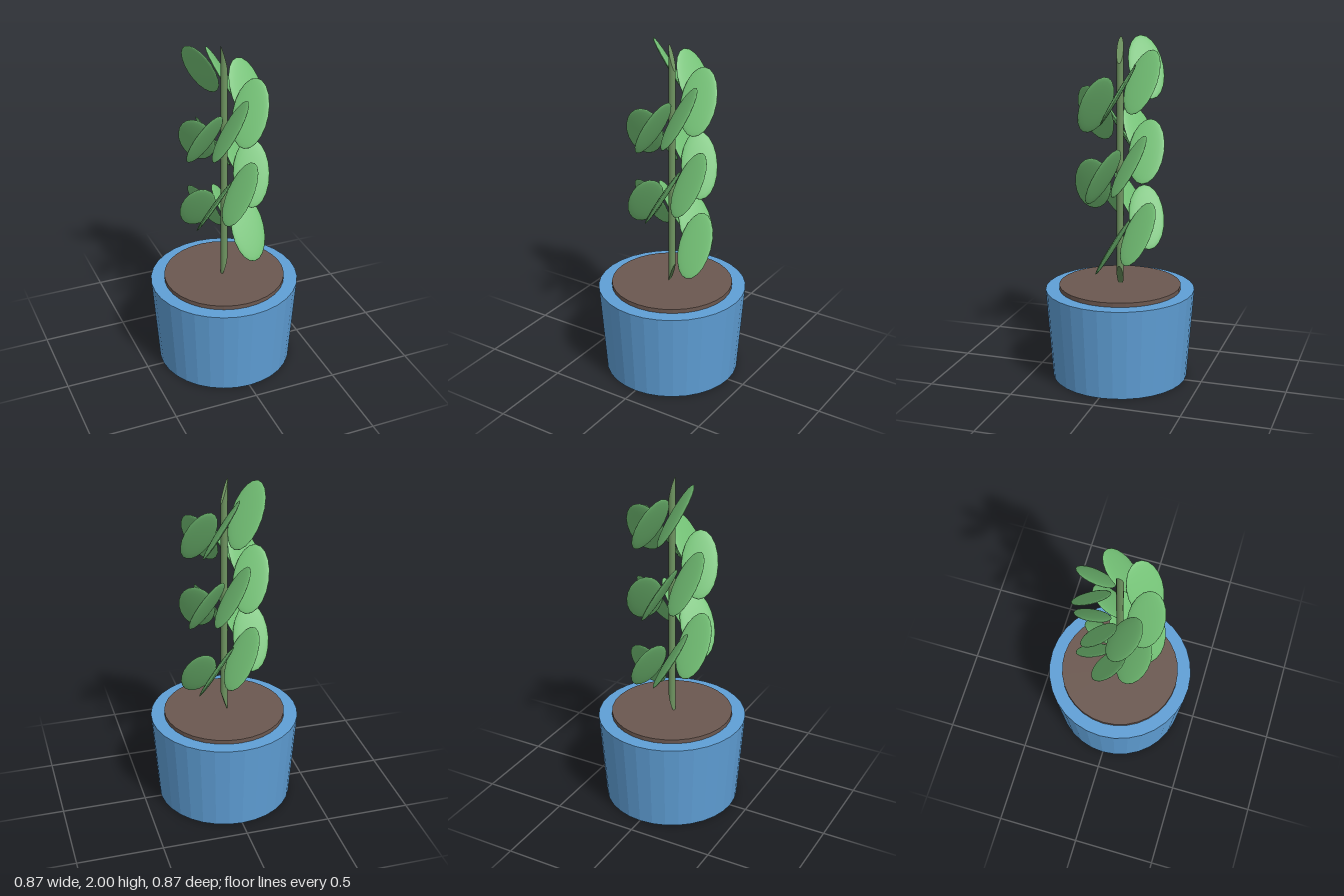
import * as THREE from 'three';

const LEAVES = 16;
const rad = THREE.MathUtils.degToRad;

function material(color, flatShading = false) {
  return new THREE.MeshStandardMaterial({ color, flatShading });
}

function addMesh(parent, name, geometry, mat) {
  const mesh = new THREE.Mesh(geometry, mat);
  mesh.name = name;
  parent.add(mesh);
  return mesh;
}

// Upright rod whose two ends are cut at a slant along x
function stemGeometry(radius, bottom, bottomSlope, top, topSlope) {
  const geo = new THREE.CylinderGeometry(radius, radius, 2, 14, 1);
  const p = geo.attributes.position;
  for (let i = 0; i < p.count; i++) {
    const x = p.getX(i);
    p.setY(i, p.getY(i) > 0 ? top + topSlope * x : bottom + bottomSlope * x);
  }
  return geo;
}

export function createModel() {
  const model = new THREE.Group();
  model.name = 'pottedPlant';

  // Tapered pot with the soil standing slightly above its rim
  addMesh(model, 'pot', new THREE.CylinderGeometry(0.437, 0.398, 0.535, 32), material(0x5f9fd6, true))
    .position.y = 0.2675;
  addMesh(model, 'soil', new THREE.CylinderGeometry(0.357, 0.357, 0.04, 32), material(0x6b5850, true))
    .position.y = 0.54;

  // Stem
  addMesh(model, 'stem', stemGeometry(0.02, 0.605, 3.25, 1.925, -3.75), material(0x6e9460));

  // Lens-shaped leaves climbing the stem like a spiral stair
  const leafGeo = new THREE.SphereGeometry(1, 20, 12);
  const leafMat = material(0x74c276);
  const leaves = new THREE.Group();
  leaves.name = 'leaves';
  for (let i = 0; i < LEAVES; i++) {
    const step = new THREE.Group();
    step.name = 'leafStep';
    step.position.y = 0.825 + i * 0.0668;
    step.rotation.y = rad(2 + i * 56.2);
    const leaf = addMesh(step, 'leaf', leafGeo, leafMat);
    leaf.position.x = 0.155;
    leaf.scale.set(0.104, 0.013, 0.197);
    leaf.rotation.x = rad(59.5);
    leaves.add(step);
  }
  model.add(leaves);

  return model;
}
